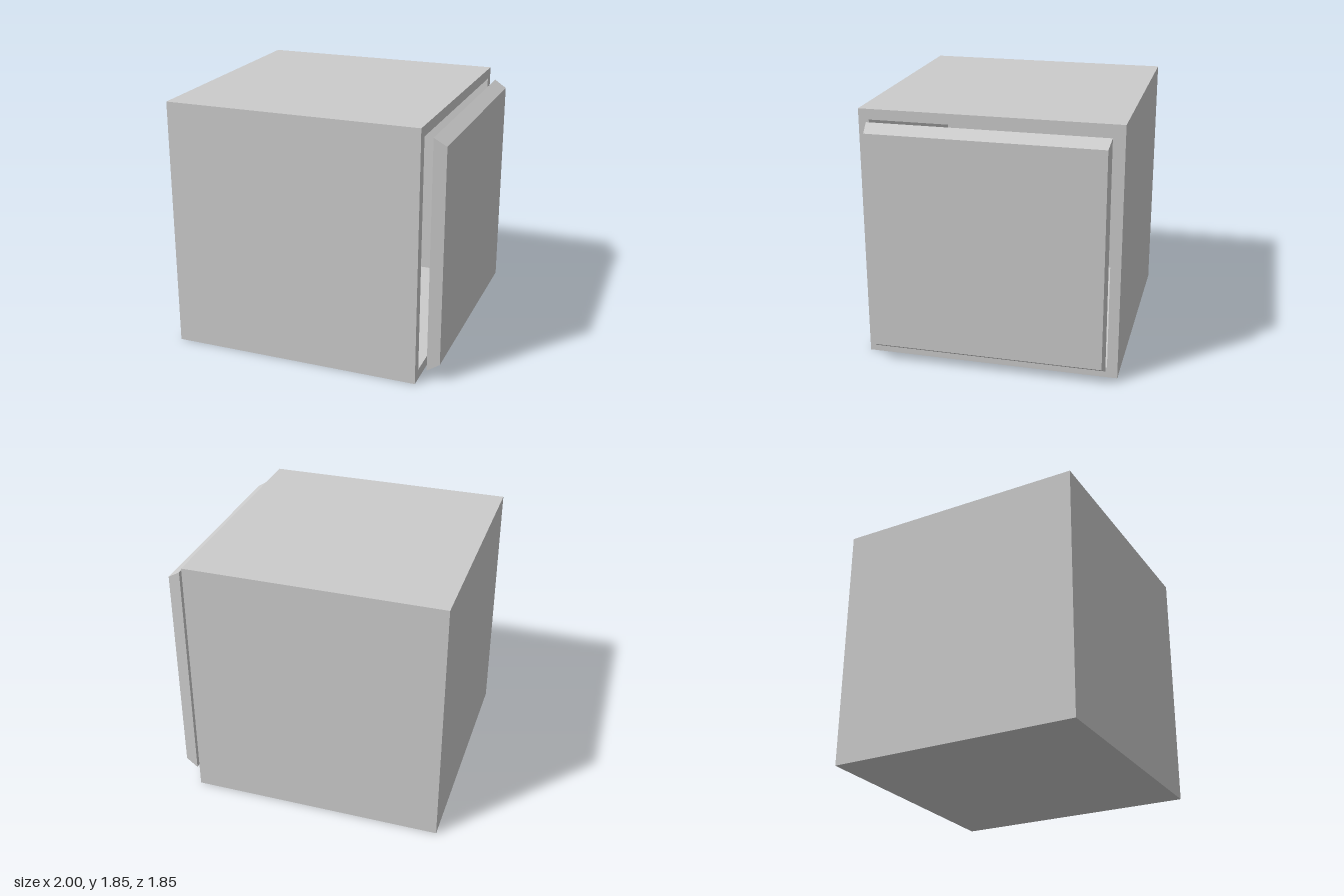
import * as THREE from 'three';

const SIZE = 1.85;          // outer edge of the cubic case
const WALL = 0.075;         // wall thickness
const HALF = SIZE / 2;

const material = new THREE.MeshStandardMaterial({ color: 0xcccccc, flatShading: true });

function addMesh(parent, name, geometry, x, y = HALF) {
  const mesh = new THREE.Mesh(geometry, material);
  mesh.name = name;
  mesh.position.set(x, y, 0);
  parent.add(mesh);
}

// Closed square outline of a given half width
function square(path, h) {
  path.moveTo(-h, -h);
  path.lineTo(h, -h);
  path.lineTo(h, h);
  path.lineTo(-h, h);
  path.closePath();
  return path;
}

// Four walls around the cavity, running along x
function sleeveGeometry() {
  const shape = square(new THREE.Shape(), HALF);
  shape.holes.push(square(new THREE.Path(), HALF - WALL));
  const geometry = new THREE.ExtrudeGeometry(shape, { depth: SIZE - WALL, bevelEnabled: false });
  return geometry.rotateY(Math.PI / 2);
}

// Slab whose outer (+x) face is drawn in, more in height than in width
function doorGeometry() {
  const geometry = new THREE.BoxGeometry(0.09, 1.695, 1.695);
  const p = geometry.attributes.position;
  for (let i = 0; i < p.count; i++) {
    if (p.getX(i) > 0) {
      p.setY(i, Math.sign(p.getY(i)) * 0.792);
      p.setZ(i, Math.sign(p.getZ(i)) * 0.834);
    }
  }
  geometry.computeVertexNormals();
  return geometry;
}

export function createModel() {
  const model = new THREE.Group();
  model.name = 'openCase';

  // Hollow case, open towards +x
  const body = new THREE.Group();
  body.name = 'caseBody';
  addMesh(body, 'caseWalls', sleeveGeometry(), -1 + WALL);
  addMesh(body, 'caseEndWall', new THREE.BoxGeometry(WALL, SIZE, SIZE), -1 + WALL / 2);
  model.add(body);

  // Detached door floating in front of the opening
  addMesh(model, 'door', doorGeometry(), 0.955);

  return model;
}
